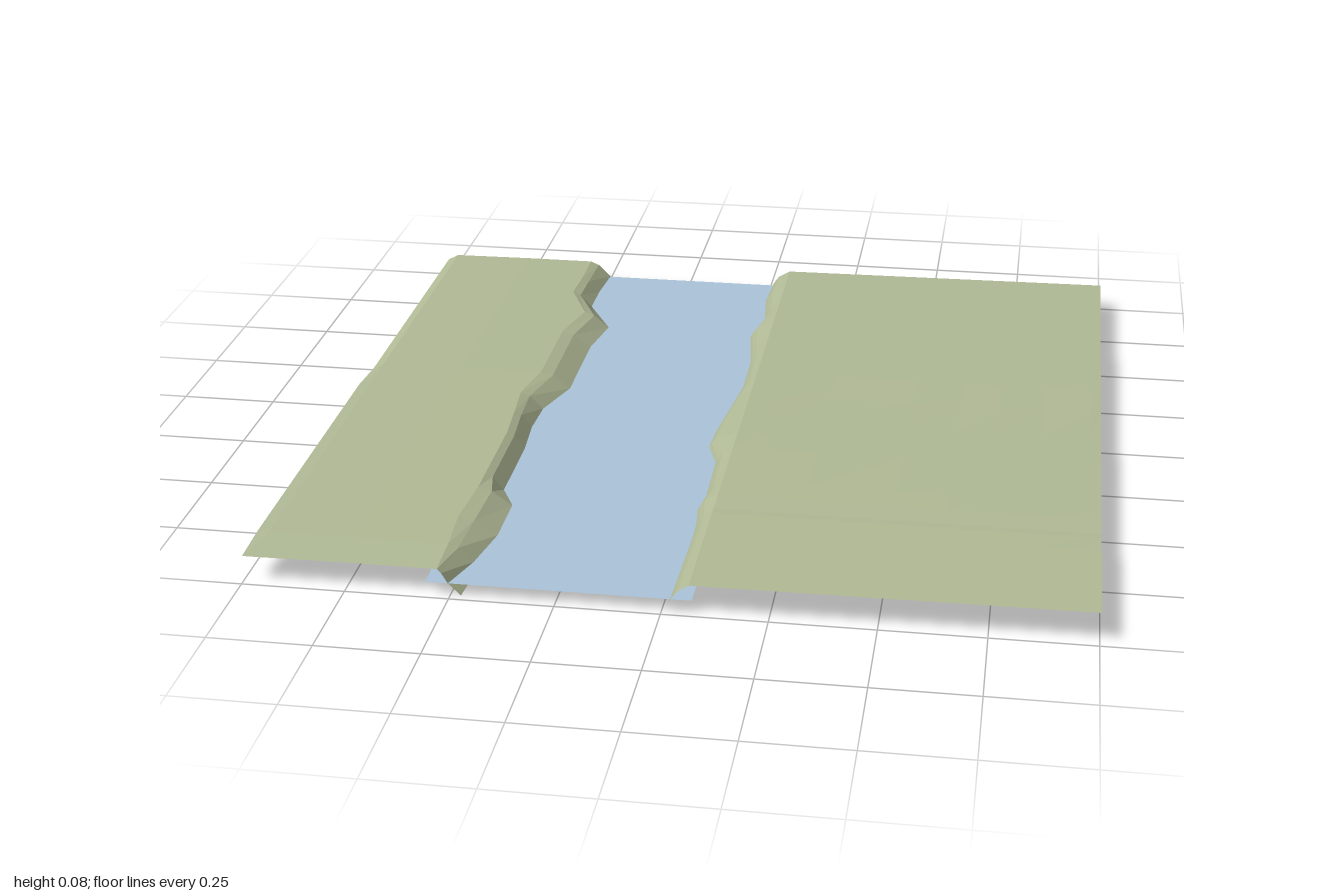
import * as THREE from 'three';

const landMaterial = new THREE.MeshStandardMaterial({ color: 0xb0b995, flatShading: true, side: THREE.DoubleSide });
const waterMaterial = new THREE.MeshStandardMaterial({ color: 0xaac3d9, flatShading: true, side: THREE.DoubleSide });

// Surface through cross-sections: rows run towards +z, points in a row towards +x
function loft(name, rows, material) {
  const n = rows[0].length;
  const index = [];
  for (let r = 0; r < rows.length - 1; r++) {
    for (let c = 0; c < n - 1; c++) {
      const a = r * n + c, b = a + n;
      index.push(a, b, a + 1, b, b + 1, a + 1);
    }
  }
  const geometry = new THREE.BufferGeometry();
  geometry.setAttribute('position', new THREE.Float32BufferAttribute(rows.flat(2), 3));
  geometry.setIndex(index);
  geometry.computeVertexNormals();
  const mesh = new THREE.Mesh(geometry, material);
  mesh.name = name;
  return mesh;
}

// Wide bank with a rounded shoulder; each entry is [z, crest x, waterline x]
function leftBank() {
  const outline = [
    [-0.98, -0.55, -0.49], [-0.84, -0.55, -0.5], [-0.73, -0.555, -0.5],
    [-0.58, -0.49, -0.42], [-0.43, -0.525, -0.445], [-0.14, -0.525, -0.445],
    [0, -0.55, -0.49], [0.12, -0.54, -0.495], [0.25, -0.53, -0.485],
    [0.49, -0.53, -0.485], [0.57, -0.53, -0.445], [0.73, -0.54, -0.445],
    [0.87, -0.53, -0.47], [0.98, -0.53, -0.505],
  ];
  const rows = outline.map(([z, crest, edge]) => {
    const front = z > 0.9;
    const top = front ? 0.066 : 0.075;
    const rim = front ? 0.064 : z < -0.1 ? 0.057 : 0.07; // outer edge falls away at the back
    const foot = front ? 0 : 0.018;
    return [
      [-1, rim, z], [-0.97, top - 0.002, z], [-0.75, top, z], [crest, top, z],
      [crest + (edge - crest) * 0.4, top - 0.01, z],
      [edge, 0.03, z],
      [edge + (front ? 0.03 : 0.013), foot, z],
    ];
  });
  return loft('leftBank', rows, landMaterial);
}

// Flat meadow with a narrow, steep bank; each entry is [z, waterline x]
function rightBank() {
  const outline = [
    [-0.99, 0.015], [-0.85, 0.01], [-0.7, 0.025], [-0.57, 0], [-0.38, 0.025],
    [-0.22, 0.027], [-0.08, 0.012], [0.07, -0.005], [0.17, -0.01], [0.26, 0.02],
    [0.45, 0.025], [0.53, 0.015], [0.6, 0.023], [0.625, 0.024], [0.69, 0.025], [0.985, 0.02],
  ];
  const columns = [0.15, 0.28, 0.5, 0.63, 0.73, 0.85, 0.97, 1];
  const rows = outline.map(([z, edge]) => {
    // the end edges fan out slightly
    const zAt = (x) => z + (z < -0.98 ? 0.01 - 0.02 * x : z > 0.98 ? 0.008 - 0.01 * x : 0);
    const furrow = z === 0.6 ? -0.002 : 0;
    const point = (x, y) => [x, y, zAt(x)];
    const meadow = columns.map((x, i) => {
      const dip = z === -0.08 && i % 2 ? -0.0015 : 0; // shallow patches
      return point(x, 0.076 + furrow + dip);
    });
    return [
      point(edge - 0.004, 0.024), point(edge + 0.006, 0.042), point(edge + 0.018, 0.058),
      point(0.065, 0.076 + furrow), ...meadow,
    ];
  });
  return loft('rightBank', rows, landMaterial);
}

export function createModel() {
  const group = new THREE.Group();
  group.name = 'riverLandscape';
  group.add(leftBank(), rightBank());

  // Water sheet reaching under both banks
  const water = new THREE.Mesh(new THREE.PlaneGeometry(0.63, 1.955).rotateX(-Math.PI / 2), waterMaterial);
  water.position.set(-0.245, 0.03, 0.0025);
  water.name = 'water';
  group.add(water);
  return group;
}
